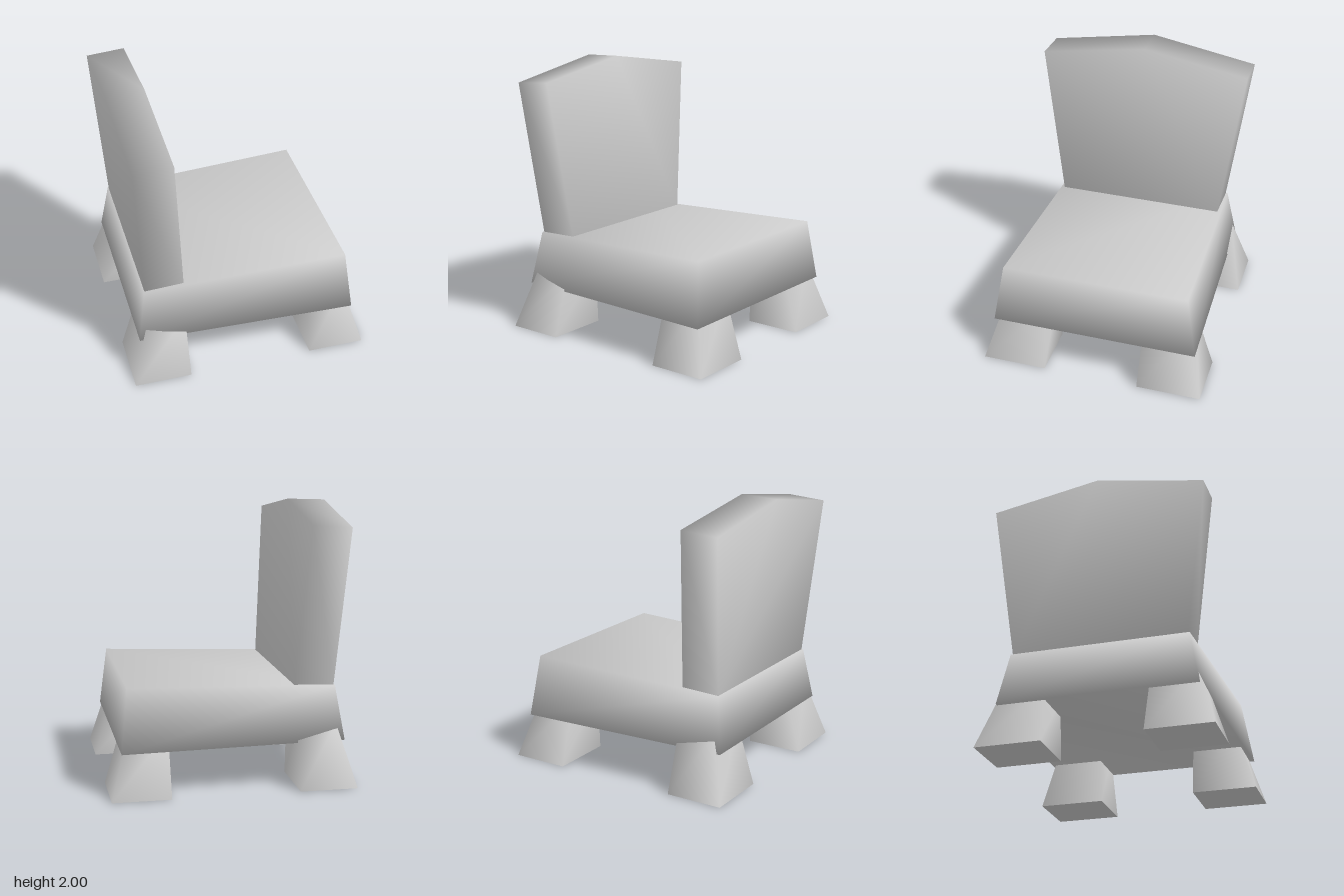
import * as THREE from 'three';

const gray = new THREE.MeshStandardMaterial({ color: 0xcccccc });
gray.name = 'plain gray';

// Solid between two matching rings of points, ordered counter-clockwise as seen from ring b.
// Corners are shared so shading is soft; flatStart gives the first cap its own flat normals.
function loft(a, b, flatStart = false) {
  const n = a.length;
  const points = [...a, ...b];
  if (flatStart) points.push(...a);
  const start = flatStart ? 2 * n : 0;
  const index = [];
  for (let i = 0; i < n; i++) {
    const j = (i + 1) % n;
    index.push(i, j, n + j, i, n + j, n + i);
  }
  for (let i = 1; i < n - 1; i++) {
    index.push(start, start + i + 1, start + i);
    index.push(n, n + i, n + i + 1);
  }
  const geometry = new THREE.BufferGeometry();
  geometry.setAttribute('position', new THREE.Float32BufferAttribute(points.flat(), 3));
  geometry.setIndex(index);
  geometry.computeVertexNormals();
  return geometry;
}

// Horizontal rectangle ring
function rect(xa, xb, za, zb, y) {
  const x0 = Math.min(xa, xb), x1 = Math.max(xa, xb);
  const z0 = Math.min(za, zb), z1 = Math.max(za, zb);
  return [[x1, y, z1], [x1, y, z0], [x0, y, z0], [x0, y, z1]];
}

// Horizontal ring that widens and tilts from the chair's rear (-x) to its front (+x)
function taper(rear, front) {
  return [
    [front.x, front.y, front.z], [front.x, front.y, -front.z],
    [rear.x, rear.y, -rear.z], [rear.x, rear.y, rear.z],
  ];
}

// Gabled outline of the backrest
function gable(foot, shoulder, peak) {
  return [
    [foot.x, foot.y, -foot.z], [shoulder.x, shoulder.y, -shoulder.z],
    [peak.x, peak.y, 0],
    [shoulder.x, shoulder.y, shoulder.z], [foot.x, foot.y, foot.z],
  ];
}

export function createModel() {
  const chair = new THREE.Group();
  chair.name = 'chair';
  const add = (name, geometry) => {
    const mesh = new THREE.Mesh(geometry, gray);
    mesh.name = name;
    chair.add(mesh);
  };

  // Thick seat, narrower on top
  add('seat', loft(
    taper({ x: -0.81, y: 0.33, z: 0.715 }, { x: 0.80, y: 0.32, z: 0.765 }),
    taper({ x: -0.75, y: 0.72, z: 0.645 }, { x: 0.75, y: 0.77, z: 0.69 }),
  ));

  // Leaning backrest, flaring upward to a low peak
  add('backrest', loft(
    gable({ x: -0.743, y: 0.71, z: 0.63 }, { x: -0.815, y: 1.86, z: 0.785 }, { x: -0.83, y: 1.99 }),
    gable({ x: -0.453, y: 0.71, z: 0.625 }, { x: -0.535, y: 1.88, z: 0.785 }, { x: -0.55, y: 2.0 }),
  ));

  // Four stubby legs, splayed on their outer sides and sunk into the seat
  for (const sx of [-1, 1]) {
    for (const sz of [-1, 1]) {
      const name = (sx > 0 ? 'front' : 'rear') + (sz > 0 ? 'Left' : 'Right') + 'Leg';
      add(name, loft(
        rect(sx * 0.46, sx * 0.88, sz * 0.355, sz * 0.83, 0),
        rect(sx * 0.465, sx * 0.75, sz * 0.37, sz * 0.69, 0.45),
        true,
      ));
    }
  }
  return chair;
}
